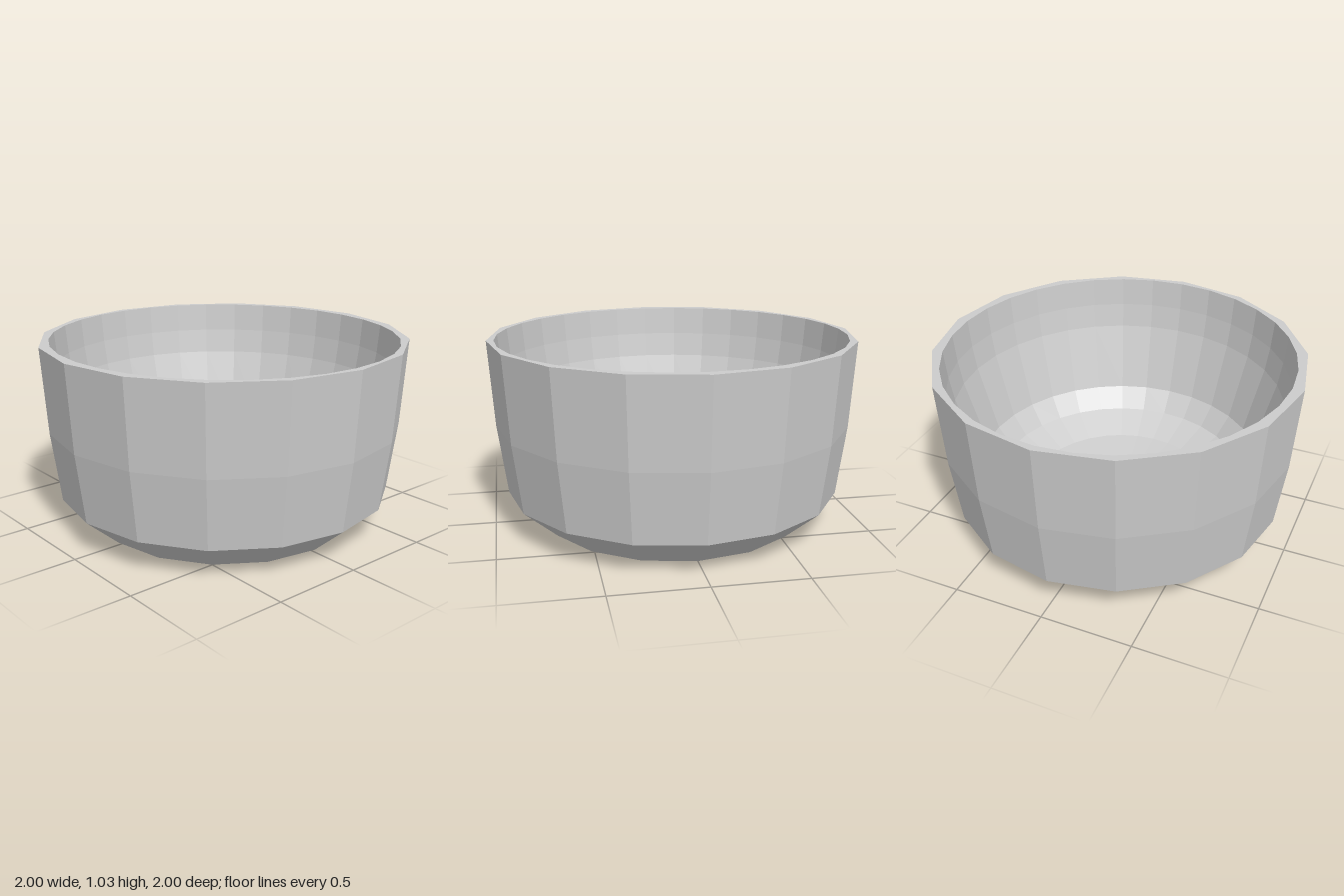
import * as THREE from 'three';

const HEIGHT = 1.03;
const INNER_Z = 0.978; // the hollow is slightly narrower front to back

export function createModel() {
  const bowl = new THREE.Group();
  bowl.name = 'bowl';
  const material = new THREE.MeshStandardMaterial({ color: 0xcccccc, flatShading: true });

  const add = (name, geometry) => {
    const mesh = new THREE.Mesh(geometry, material);
    mesh.name = name;
    bowl.add(mesh);
  };
  const lathe = (points, sides) =>
    new THREE.LatheGeometry(points.map(([r, y]) => new THREE.Vector2(r, y)), sides);
  const ring = (rx, rz, sides) => Array.from({ length: sides }, (_, i) => {
    const a = (i / sides) * Math.PI * 2;
    return new THREE.Vector2(rx * Math.cos(a), rz * Math.sin(a));
  });

  // Faceted outside: nearly flat base, bevelled foot, gently flared wall
  add('outerShell', lathe([
    [0, 0], [0.08, 0], [0.49, 0.005], [0.73, 0.012],
    [0.92, 0.178], [0.97, 0.56], [1, HEIGHT],
  ], 16));

  // Finer-sided hollow, from the rim down to the small flat floor
  const hollow = lathe([
    [0.96, HEIGHT], [0.945, 0.87], [0.922, 0.73], [0.81, 0.35],
    [0.72, 0.235], [0.535, 0.15], [0.18, 0.09], [0, 0.09],
  ], 32);
  hollow.scale(1, 1, INNER_Z);
  add('innerHollow', hollow);

  // Flat rim joining the two outlines
  const rim = new THREE.Shape(ring(1, 1, 16));
  rim.holes.push(new THREE.Path(ring(0.96, 0.96 * INNER_Z, 32)));
  add('rim', new THREE.ShapeGeometry(rim).rotateX(-Math.PI / 2).translate(0, HEIGHT, 0));

  return bowl;
}
